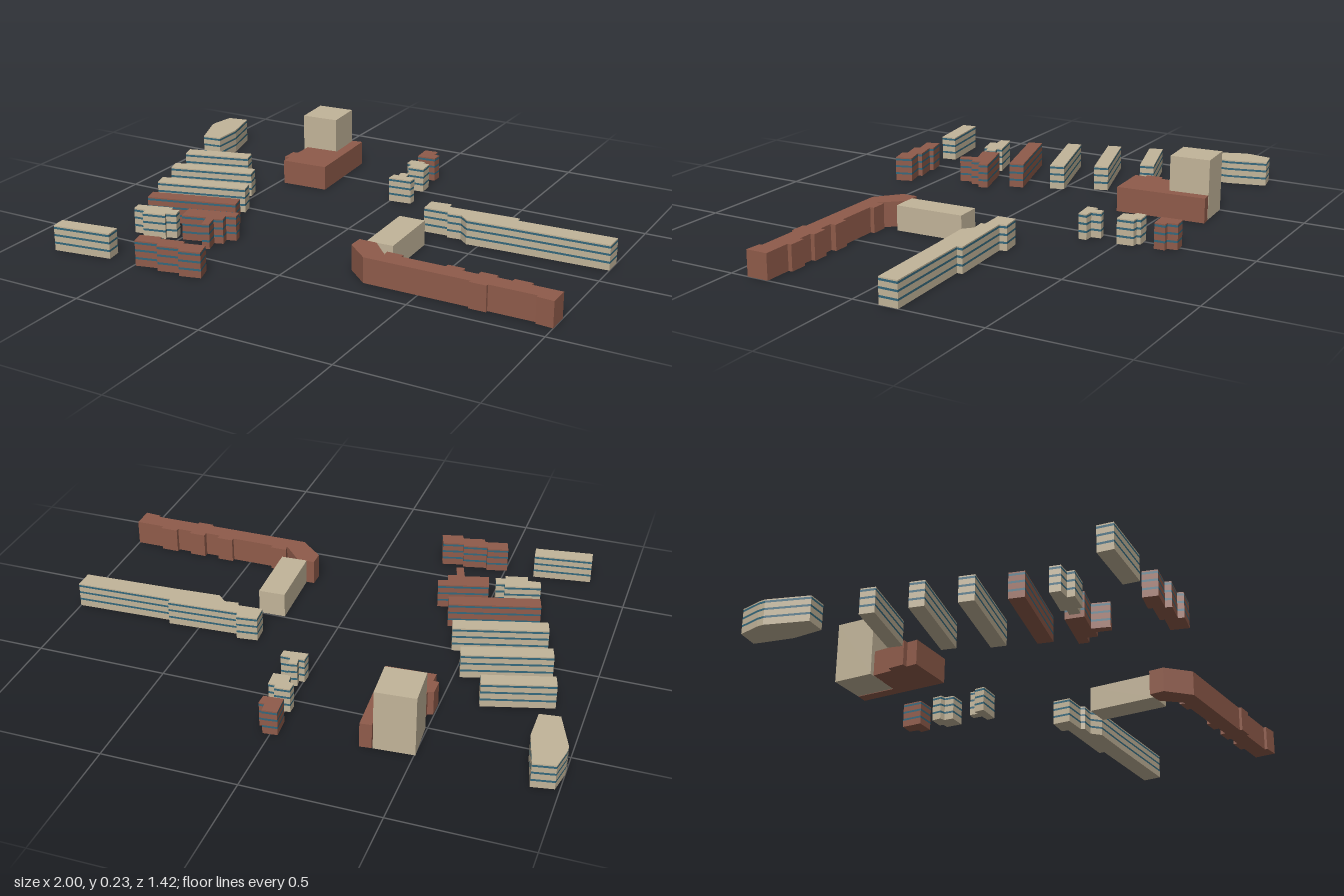
import * as THREE from 'three';
import { mergeGeometries } from 'three/addons/utils/BufferGeometryUtils.js';

const paint = (color) => new THREE.MeshStandardMaterial({ color, flatShading: true });
const HEIGHT = 0.097;
const TOWER_HEIGHT = 0.233;
// [bottom, top] of each window band
const BANDS = [[0.026, 0.034], [0.056, 0.064], [0.084, 0.092]];

// Footprints are clockwise from above, as flat x, z lists in thousandths of a unit
const toPoints = (flat) => {
  const points = [];
  for (let i = 0; i < flat.length; i += 2) points.push(new THREE.Vector2(flat[i] / 1000, flat[i + 1] / 1000));
  return points;
};

// Rectangular footprint turned about its centre
function bar(x, z, length, depth, degrees) {
  const a = THREE.MathUtils.degToRad(degrees);
  return [[-1, -1], [1, -1], [1, 1], [-1, 1]].flatMap(([u, v]) => {
    const dx = u * length / 2, dz = v * depth / 2;
    return [x + dx * Math.cos(a) + dz * Math.sin(a), z - dx * Math.sin(a) + dz * Math.cos(a)];
  });
}

// Ring of walls around a footprint between two heights
function walls(points, y0, y1) {
  const pos = [];
  points.forEach((a, i) => {
    const b = points[(i + 1) % points.length];
    pos.push(a.x, y0, a.y, a.x, y1, a.y, b.x, y1, b.y);
    pos.push(a.x, y0, a.y, b.x, y1, b.y, b.x, y0, b.y);
  });
  const g = new THREE.BufferGeometry();
  g.setAttribute('position', new THREE.Float32BufferAttribute(pos, 3));
  g.computeVertexNormals();
  return g;
}

// Flat roof (side 1) or underside (side -1)
function cap(points, y, side) {
  const shape = new THREE.Shape(points.map((p) => new THREE.Vector2(p.x, -side * p.y)));
  const g = new THREE.ShapeGeometry(shape).rotateX(-side * Math.PI / 2).translate(0, y, 0).toNonIndexed();
  g.deleteAttribute('uv');
  return g;
}

function building(name, footprint, wallMaterial, glassMaterial, height = HEIGHT) {
  const group = new THREE.Group();
  group.name = name;
  const points = toPoints(footprint);
  const solid = [cap(points, 0, -1), cap(points, height, 1)];
  const glass = [];
  let y = 0;
  if (glassMaterial) {
    for (const [low, high] of BANDS) {
      solid.push(walls(points, y, low));
      glass.push(walls(points, low, high));
      y = high;
    }
  }
  solid.push(walls(points, y, height));
  const body = new THREE.Mesh(mergeGeometries(solid), wallMaterial);
  body.name = 'walls';
  group.add(body);
  if (glass.length) {
    const windows = new THREE.Mesh(mergeGeometries(glass), glassMaterial);
    windows.name = 'windowBands';
    group.add(windows);
  }
  return group;
}

export function createModel() {
  const model = new THREE.Group();
  model.name = 'buildingDistrict';
  const stone = paint(0xc2b499), brick = paint(0x8f5b4a), glass = paint(0x34687c);
  const add = (...args) => model.add(building(...args));

  // Row of slanted blocks on the west side
  add('slabA', bar(-757, -254, 267, 56, 16.3), stone, glass);
  add('slabB', bar(-677, -94, 335, 56, 16.5), stone, glass);
  add('slabC', bar(-613, 68, 356, 58, 16), stone, glass);
  add('brickSlab', bar(-551, 223, 350, 58, 16), brick, glass);
  add('lowerSlab', bar(-727, 658, 227, 59, 8.1), stone, glass);

  // Tapered block at the back
  add('taperedBlock', [-984, -682, -904, -697, -866, -548, -866, -425, -941, -415, -1000, -570, -1000, -597], stone, glass);

  // Stepped blocks at the front of the row
  add('steppedStoneBlock', [-695, 382, -561, 345, -556, 366, -524, 355, -513, 393, -551, 404,
    -545, 420, -631, 441, -636, 414, -685, 420], stone, glass);
  add('brickWingBlock', [-503, 324, -315, 270, -305, 307, -342, 318, -331, 355, -364, 366,
    -348, 420, -374, 430, -396, 366, -487, 393], brick, glass);
  add('staggeredTerrace', [-508, 623, -428, 602, -422, 617, -331, 596, -326, 612, -246, 591,
    -225, 655, -305, 676, -315, 655, -396, 676, -406, 655, -492, 676], brick, glass);

  // Tower with a brick annex wrapped round it
  add('tower', bar(-425, -588, 148, 156, 4), stone, null, TOWER_HEIGHT);
  add('towerAnnex', [-353, -671, -310, -676, -289, -323, -476, -313, -476, -356, -497, -356,
    -497, -420, -476, -425, -476, -505, -342, -516], brick);

  // Three small houses
  add('brickHouse', [-27, -708, 27, -714, 32, -676, 53, -676, 53, -634, -21, -628], brick, glass);
  add('middleHouse', [-21, -570, 37, -575, 37, -559, 64, -559, 70, -495, 5, -490, 0, -527, -21, -532], stone, glass);
  add('frontHouse', [11, -414, 43, -420, 48, -382, 86, -382, 86, -350, -5, -340, -5, -382, 16, -382], stone, glass);

  // Long blocks round the east court
  add('longStoneBlock', [257, -185, 337, -195, 342, -168, 620, -185, 620, -163, 1000, -179, 1000, -104,
    620, -88, 454, -78, 417, -110, 364, -104, 358, -120, 262, -115], stone, glass);
  add('courtHall', bar(276, 140, 103, 272, 2), stone);
  add('longBrickBlock', [198, 275, 267, 275, 326, 339, 342, 355, 337, 329, 401, 329, 401, 345,
    572, 345, 572, 329, 636, 329, 636, 350, 695, 350, 695, 329, 759, 329, 759, 345, 818, 345,
    818, 329, 887, 329, 887, 345, 1000, 345, 1000, 430, 936, 425, 936, 414, 759, 414, 759, 425,
    695, 425, 695, 414, 289, 414, 198, 334], brick);
  return model;
}
